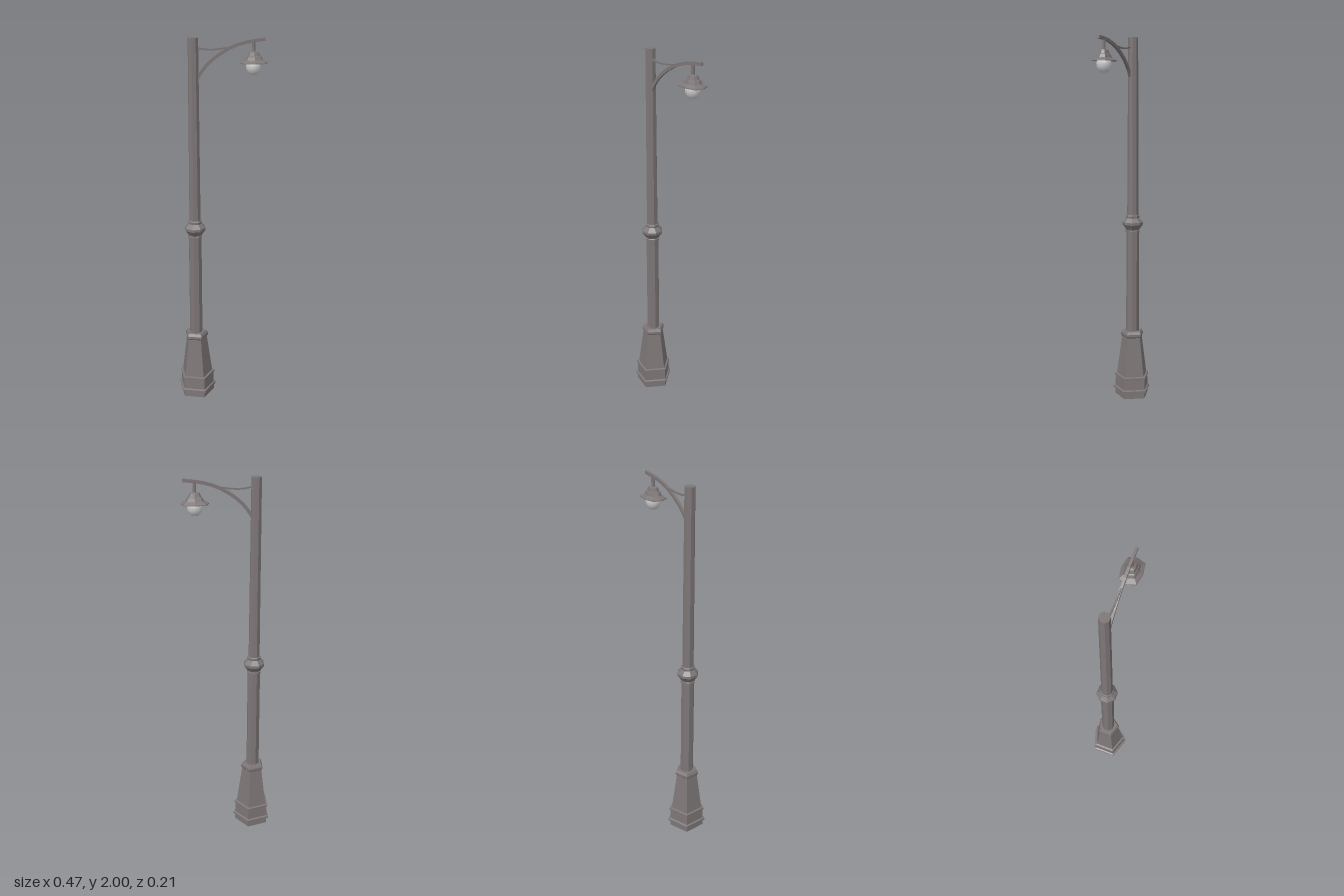
import * as THREE from 'three';

const metal = new THREE.MeshStandardMaterial({ color: 0x7d7676, flatShading: true, side: THREE.DoubleSide });
const glass = new THREE.MeshStandardMaterial({ color: 0xcccccc });

const POST_X = -0.143;
const LAMP_X = 0.163;
const ARM_Z = 0.008;

function add(parent, name, geometry, material, x = 0, y = 0, z = 0) {
  const mesh = new THREE.Mesh(geometry, material);
  mesh.name = name;
  mesh.position.set(x, y, z);
  parent.add(mesh);
  return mesh;
}

// Faceted turned part; the profile is [radius, height] from bottom to top
function turned(profile, sides, start) {
  return new THREE.LatheGeometry(profile.map(([r, y]) => new THREE.Vector2(r, y)), sides, start);
}

// Flat bar of even thickness following a curve in the xy plane
function bar(points, thickness, depth, steps) {
  const curve = new THREE.SplineCurve(points.map(([x, y]) => new THREE.Vector2(x, y)));
  const upper = [], lower = [];
  for (let i = 0; i <= steps; i++) {
    const p = curve.getPoint(i / steps);
    const t = curve.getTangent(i / steps);
    const n = new THREE.Vector2(-t.y, t.x).multiplyScalar(thickness / 2);
    upper.push(p.clone().add(n));
    lower.unshift(p.clone().sub(n));
  }
  const geometry = new THREE.ExtrudeGeometry(new THREE.Shape([...upper, ...lower]), { depth, bevelEnabled: false });
  return geometry.translate(0, 0, -depth / 2);
}

export function createModel() {
  const group = new THREE.Group();

  // Five-sided pedestal with two bands and a moulded cap
  add(group, 'pedestal', turned([
    [0, 0], [0.098, 0], [0.098, 0.035], [0.109, 0.035], [0.109, 0.046], [0.098, 0.05],
    [0.096, 0.108], [0.102, 0.11], [0.102, 0.121], [0.089, 0.124],
    [0.059, 0.345], [0.066, 0.352], [0.066, 0.366], [0.056, 0.38], [0, 0.38],
  ], 5, Math.PI / 2), metal, POST_X);

  // Eight-sided post: lower shaft, collar, upper shaft
  const eighth = Math.PI / 8;
  add(group, 'lowerShaft', turned([[0.036, 0.37], [0.035, 0.96]], 8, eighth), metal, POST_X);
  add(group, 'collar', turned([
    [0.03, 0.942], [0.039, 0.944], [0.039, 0.954], [0.035, 0.957], [0.042, 0.968], [0.057, 0.988],
    [0.057, 1.002], [0.036, 1.024], [0.037, 1.036], [0.034, 1.041], [0.029, 1.042],
  ], 8, eighth), metal, POST_X);
  add(group, 'upperShaft', turned([[0.031, 1.02], [0.027, 2], [0, 2]], 8, eighth), metal, POST_X);

  // Curved arm and the small brace above it
  add(group, 'arm', bar([
    [-0.125, 1.795], [-0.1, 1.835], [-0.05, 1.888], [0.035, 1.943], [0.125, 1.973], [0.222, 1.985],
  ], 0.016, 0.013, 10), metal, 0, 0, ARM_Z);
  add(group, 'brace', bar([[-0.13, 1.951], [-0.09, 1.942], [-0.04, 1.939], [0.03, 1.947]], 0.008, 0.008, 5),
    metal, 0, 0, ARM_Z);

  // Hanging lamp
  const lamp = new THREE.Group();
  lamp.name = 'lamp';
  lamp.position.set(LAMP_X, 0, ARM_Z + 0.001);
  group.add(lamp);
  add(lamp, 'stem', new THREE.CylinderGeometry(0.01, 0.01, 0.06, 6), metal, 0, 1.947);

  // Oval tiered shade, with its diagonal corners pushed out
  const shade = turned([
    [0, 1.876], [0.04, 1.876], [0.072, 1.867], [0.071, 1.872], [0.047, 1.884],
    [0.039, 1.9], [0.033, 1.903], [0.025, 1.922], [0.016, 1.926], [0, 1.926],
  ], 8, 0);
  const pos = shade.attributes.position;
  for (let i = 0; i < pos.count; i++) {
    const x = pos.getX(i), z = pos.getZ(i);
    const diagonal = Math.min(Math.abs(x), Math.abs(z)) > 0.001;
    const push = diagonal ? 1.14 : 1;
    pos.setXYZ(i, x * push, pos.getY(i), z * push * 0.73);
  }
  add(lamp, 'shade', shade, metal);

  // Globe with a slightly flattened bottom
  add(lamp, 'globe', turned([
    [0, 1.809], [0.02, 1.811], [0.032, 1.824], [0.038, 1.84], [0.039, 1.856], [0.036, 1.868], [0.028, 1.878],
  ], 12, 0), glass);

  return group;
}
